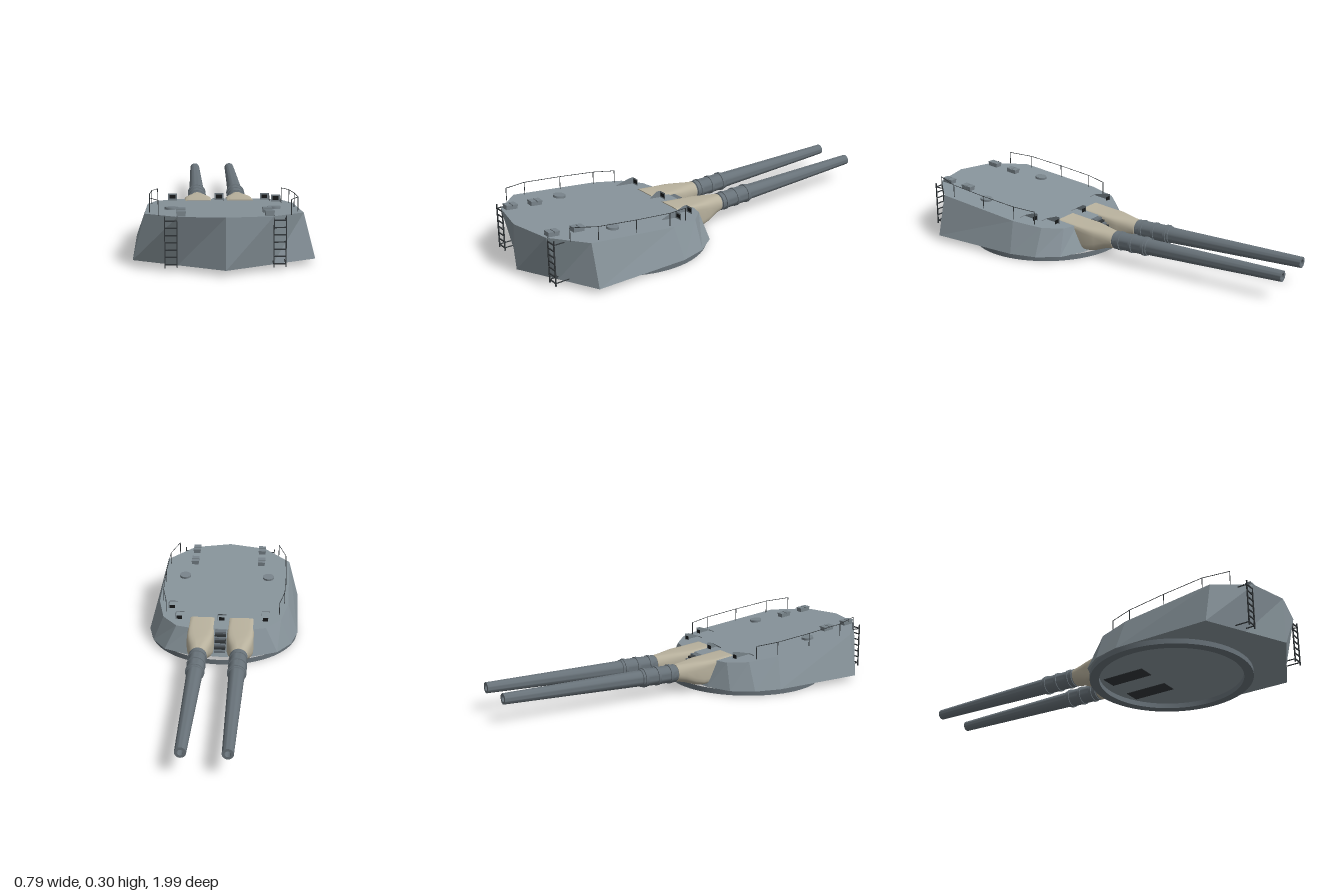
import * as THREE from 'three';
import { toCreasedNormals } from 'three/addons/utils/BufferGeometryUtils.js';

const mat = (color, flatShading = false) => {
  const m = new THREE.MeshStandardMaterial({ flatShading });
  m.color.set(color);
  return m;
};
const armour = mat(0x87939a, true), steel = mat(0x687279), canvas = mat(0xb8b19d);
const dark = mat(0x33383b), black = mat(0x17191a), fitting = mat(0x78838a, true);

// Height of the sloping flat roof
const roofY = (z) => 0.25 - 0.113 * (0.99 - z);

// Skin between equal-length rings, closed at both ends
function loft(rings) {
  const n = rings[0].length, pos = [], idx = [];
  rings.forEach((r) => r.forEach((p) => pos.push(...p)));
  for (let k = 0; k < rings.length - 1; k++) {
    for (let i = 0; i < n; i++) {
      const a = k * n + i, b = k * n + (i + 1) % n;
      idx.push(a, b, b + n, a, b + n, a + n);
    }
  }
  [rings[0], rings[rings.length - 1]].forEach((r, end) => {
    const c = pos.length / 3;
    pos.push(...[0, 1, 2].map((j) => r.reduce((s, p) => s + p[j], 0) / n));
    const base = end ? (rings.length - 1) * n : 0;
    for (let i = 0; i < n; i++) {
      const a = base + i, b = base + (i + 1) % n;
      idx.push(...(end ? [c, a, b] : [c, b, a]));
    }
  });
  const g = new THREE.BufferGeometry();
  g.setAttribute('position', new THREE.Float32BufferAttribute(pos, 3));
  g.setIndex(idx);
  g.computeVertexNormals();
  return g;
}

const lathe = (pts, seg) => toCreasedNormals(
  new THREE.LatheGeometry(pts.map(([x, y]) => new THREE.Vector2(x, y)), seg), 0.6);

function add(parent, name, geo, material, x = 0, y = 0, z = 0) {
  const m = new THREE.Mesh(geo, material);
  m.name = name;
  m.position.set(x, y, z);
  parent.add(m);
  return m;
}

// Thin round rod between two points
function rod(parent, name, a, b, r) {
  const p = new THREE.Vector3(...a), q = new THREE.Vector3(...b);
  const m = add(parent, name, new THREE.CylinderGeometry(r, r, p.distanceTo(q), 6), dark);
  m.position.copy(p).add(q).multiplyScalar(0.5);
  m.quaternion.setFromUnitVectors(new THREE.Vector3(0, 1, 0), q.sub(p).normalize());
}

function makeHousing(root) {
  // Half outlines from the rear point round to the gun face: bottom x, z, top x, z
  const half = [
    [0, 0.99, 0, 0.99], [0.2, 0.893, 0.2, 0.945], [0.393, 0.8, 0.34, 0.8],
    [0.393, 0.33, 0.34, 0.35], [0.36, 0.2, 0.305, 0.2], [0.29, 0.1, 0.23, 0.12],
    [0.17, 0.045, 0.15, 0.1], [0, 0.03, 0, 0.1],
  ];
  const mirrored = half.slice(1, -1).reverse().map(([a, b, c, d]) => [-a, b, -c, d]);
  const all = [...half, ...mirrored];
  add(root, 'housing', loft([
    all.map(([x, z]) => [x, 0.025, z]),
    all.map(([, , x, z]) => [x, roofY(z), z]),
  ]), armour);
  add(root, 'baseRing', lathe([[0.345, 0.026], [0.345, 0], [0.39, 0], [0.39, 0.026]], 64),
    steel, 0, 0, 0.385);
}

function makeGun(root, x) {
  const gun = new THREE.Group();
  gun.name = 'gun';
  gun.position.x = x;
  root.add(gun);

  // Canvas cover: boxy at the housing, round at the barrel (z, half width, bottom, top, roundness)
  const sections = [
    [0.2, 0.066, 0.06, 0.165, 0.2], [0.1, 0.068, 0.04, 0.155, 0.25],
    [0.03, 0.068, 0.032, 0.153, 0.4], [-0.01, 0.062, 0.036, 0.151, 0.55],
    [-0.06, 0.05, 0.052, 0.147, 0.8], [-0.1, 0.043, 0.058, 0.144, 1],
  ];
  const rings = sections.map(([z, w, lo, hi, e]) => Array.from({ length: 24 }, (_, i) => {
    const t = (i + 0.5) / 24 * Math.PI * 2;
    const pw = (v) => Math.sign(v) * Math.abs(v) ** e;
    return [-w * pw(Math.cos(t)), (lo + hi) / 2 + (hi - lo) / 2 * pw(Math.sin(t)), z];
  }));
  add(gun, 'canvasCover', toCreasedNormals(loft(rings), 0.7), canvas);

  // Stepped, tapering barrel with reinforcing bands and a hollow muzzle
  const barrel = new THREE.Group();
  barrel.name = 'barrel';
  barrel.position.set(0, 0.101, -0.08);
  barrel.rotation.x = 0.0155;
  gun.add(barrel);
  const profile = [[0, 0], [0.04, 0], [0.04, 0.025], [0.045, 0.027]];
  for (const s of [0.055, 0.125, 0.195]) {
    profile.push([0.043, s - 0.006], [0.047, s - 0.005], [0.047, s + 0.008], [0.043, s + 0.009]);
  }
  profile.push([0.043, 0.215], [0.039, 0.217], [0.026, 0.92], [0.014, 0.92], [0.014, 0.85]);
  const tube = lathe(profile, 28);
  tube.rotateX(-Math.PI / 2);
  add(barrel, 'barrelTube', tube, steel);
  const bore = add(barrel, 'boreEnd', new THREE.CircleGeometry(0.015, 20), black, 0, 0, -0.86);
  bore.rotation.y = Math.PI;

  // Breech slot in the floor
  add(gun, 'breechSlot', new THREE.BoxGeometry(0.085, 0.004, 0.22), dark, 0, 0.0245, 0.2);
}

// Wedge hood with a dark opening towards the guns
function makeHood(root, x, z0, z1) {
  const w = 0.021, y0 = roofY(z0), y1 = roofY(z1);
  const ring = (z, lo, hi) => [[w, lo, z], [w, hi, z], [-w, hi, z], [-w, lo, z]].reverse();
  add(root, 'sightHood', loft([
    ring(z1, y1 - 0.01, y1 + 0.004).reverse(), ring(z0 + 0.02, y0 - 0.01, y0 + 0.034).reverse(),
    ring(z0, y0 - 0.01, y0 + 0.034).reverse(),
  ].map((r) => r.slice().reverse()).map((r) => r.reverse())), fitting);
  add(root, 'hoodOpening', new THREE.BoxGeometry(0.028, 0.018, 0.002), black, x, y0 + 0.017, z0);
  root.children[root.children.length - 2].position.x = x;
}

function makeLadder(root, side) {
  const ladder = new THREE.Group();
  ladder.name = 'ladder';
  root.add(ladder);
  const z = 0.937;
  for (const x of [0.202, 0.253]) {
    add(ladder, 'ladderRail', new THREE.BoxGeometry(0.004, 0.22, 0.006), dark, side * x, 0.135, z);
    for (const y of [0.04, 0.225]) {
      add(ladder, 'ladderBracket', new THREE.BoxGeometry(0.004, 0.004, 0.07), dark, side * x, y, z - 0.035);
    }
  }
  for (let i = 0; i < 7; i++) {
    add(ladder, 'rung', new THREE.BoxGeometry(0.052, 0.005, 0.005), dark, side * 0.2275, 0.04 + i * 0.031, z);
  }
}

function makeRailing(root, side) {
  const railing = new THREE.Group();
  railing.name = 'railing';
  root.add(railing);
  const posts = [[0.28, 0.87], [0.32, 0.75], [0.325, 0.55], [0.32, 0.36], [0.295, 0.25]];
  const top = posts.map(([x, z]) => [side * x, 0.3 - (0.87 - z) * 0.112, z]);
  posts.forEach(([x, z], i) => {
    rod(railing, 'railPost', [side * x, roofY(z) - 0.003, z], top[i], 0.002);
    if (i) rod(railing, 'handRail', top[i - 1], top[i], 0.0016);
  });
}

export function createModel() {
  const root = new THREE.Group();
  root.name = 'twinGunTurret';
  makeHousing(root);

  for (const side of [-1, 1]) {
    makeGun(root, side * 0.101);
    makeLadder(root, side);
    makeRailing(root, side);
    // Round hatch and two stacked vent boxes on each side of the roof
    const hatch = add(root, 'roofHatch', new THREE.CylinderGeometry(0.03, 0.03, 0.016, 24),
      mat(0x78838a), side * 0.228, roofY(0.615) + 0.003, 0.615);
    hatch.rotation.x = -0.113;
    for (const z of [0.775, 0.905]) {
      const vent = new THREE.Group();
      vent.name = 'roofVent';
      vent.position.set(side * 0.185, roofY(z), z);
      vent.rotation.x = -0.113;
      root.add(vent);
      add(vent, 'ventBase', new THREE.BoxGeometry(0.036, 0.024, 0.056), fitting, 0, 0.004, 0);
      for (const d of [-0.016, 0.016]) {
        add(vent, 'ventCap', new THREE.BoxGeometry(0.04, 0.008, 0.027), fitting, 0, 0.018, d);
      }
    }
  }

  // Sight hoods: x, front z, rear z
  [[-0.225, 0.17, 0.27], [0, 0.165, 0.225], [0.22, 0.17, 0.25], [0.265, 0.27, 0.35]]
    .forEach((h) => makeHood(root, ...h));

  // Steps down the gun face between the two covers
  for (let i = 0; i < 7; i++) {
    add(root, 'faceStep', new THREE.BoxGeometry(0.056, 0.01, 0.07), i % 2 ? dark : steel,
      0, 0.142 - i * 0.011, 0.105 - i * 0.014);
  }
  return root;
}
